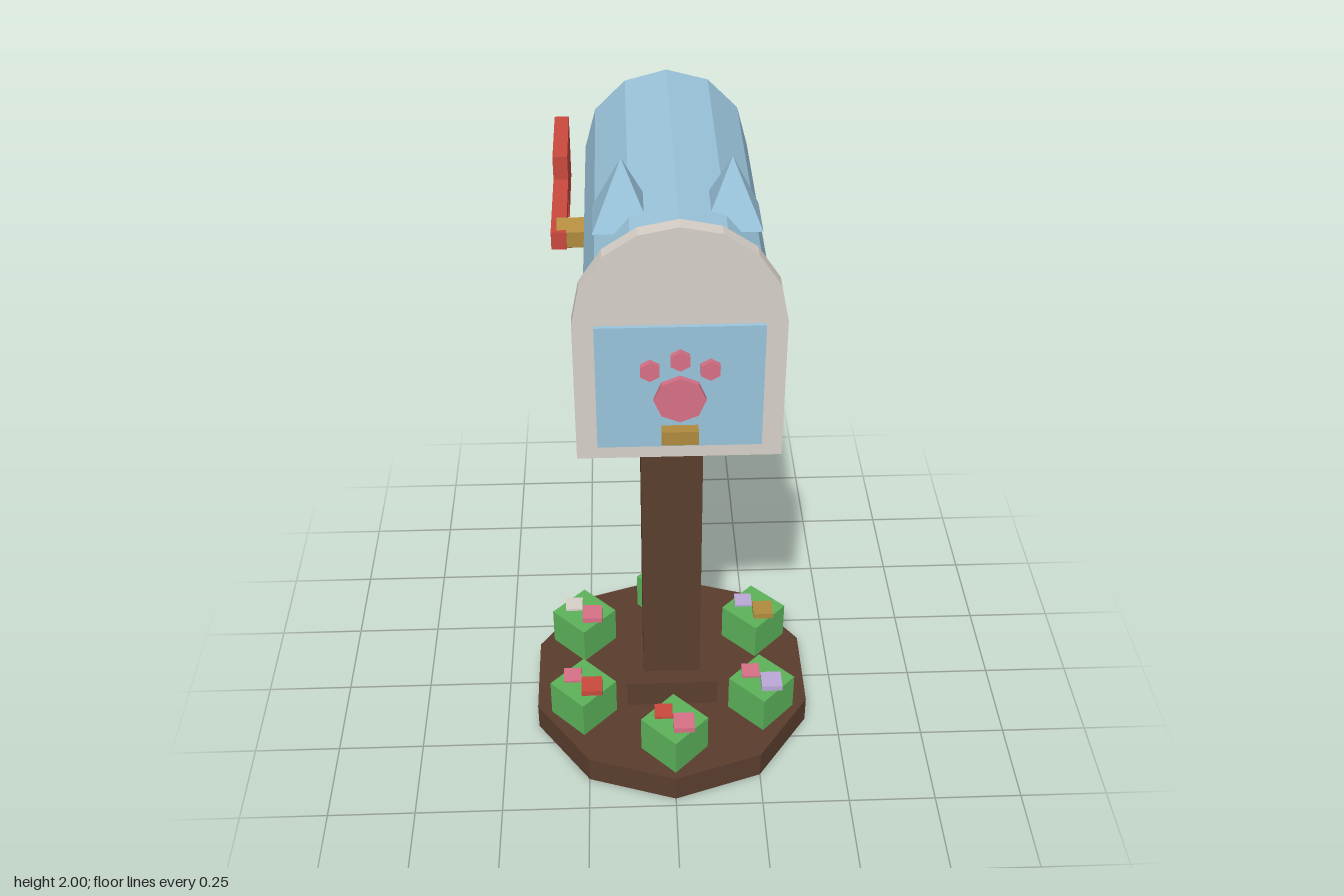
import * as THREE from 'three';

export function createModel() {
  const model = new THREE.Group();
  model.name = 'mailbox';

  const mat = (name, color) => {
    const m = new THREE.MeshStandardMaterial({ color });
    m.name = name;
    m.flatShading = true;
    return m;
  };
  const blue = mat('pale blue', 0x9ac4db);
  const cream = mat('warm white', 0xd6d0c8);
  const brown = mat('dark wood', 0x5a3d2e);
  const red = mat('flag red', 0xc9493d);
  const green = mat('leaf green', 0x5cb25a);
  const brass = mat('brass', 0xb08a3e);
  const pink = mat('pink', 0xd67086);
  const lavender = mat('lavender', 0xb9a8d6);

  const add = (name, geometry, material, x = 0, y = 0, z = 0, parent = model) => {
    const mesh = new THREE.Mesh(geometry, material);
    mesh.name = name;
    mesh.position.set(x, y, z);
    parent.add(mesh);
    return mesh;
  };
  // Box given by its min and max on each axis
  const box = (name, material, [x0, x1], [y0, y1], [z0, z1], parent = model) =>
    add(name, new THREE.BoxGeometry(x1 - x0, y1 - y0, z1 - z0), material,
      (x0 + x1) / 2, (y0 + y1) / 2, (z0 + z1) / 2, parent);
  // Arch-topped outline extruded along z
  const arch = (halfWidth, bottom, spring, segments, z0, z1) => {
    const s = new THREE.Shape();
    s.moveTo(-halfWidth, bottom);
    s.lineTo(halfWidth, bottom);
    for (let i = 0; i <= segments; i++) {
      const a = (Math.PI * i) / segments;
      s.lineTo(halfWidth * Math.cos(a), spring + halfWidth * Math.sin(a));
    }
    return new THREE.ExtrudeGeometry(s, { depth: z1 - z0, bevelEnabled: false }).translate(0, 0, z0);
  };

  // Ground mound, footing and post
  const cz = 0.05;
  add('base', new THREE.CylinderGeometry(0.425, 0.425, 0.085, 10), brown, 0, 0.0425, cz);
  box('footing', brown, [-0.135, 0.135], [0.085, 0.175], [cz - 0.135, cz + 0.135]);
  box('post', brown, [-0.084, 0.084], [0.175, 1.365], [cz - 0.084, cz + 0.084]);

  // Ring of bushes, each with a large and a small flower
  const petals = [pink, lavender, brass, cream, pink, red];
  for (let i = 0; i < 6; i++) {
    const a = (i * Math.PI) / 3;
    const bush = new THREE.Group();
    bush.name = 'bush';
    bush.position.set(0.305 * Math.sin(a), 0, cz + 0.305 * Math.cos(a));
    model.add(bush);
    add('leaves', new THREE.CylinderGeometry(0.097, 0.097, 0.12, 4), green, 0, 0.145, 0, bush);
    const flower = (name, material, x, z, size, top) => {
      add(name, new THREE.BoxGeometry(size, 0.018, size), material, x, top - 0.009, z, bush);
      add(name + 'Stem', new THREE.BoxGeometry(0.02, 0.04, 0.02), material, x, top - 0.035, z, bush);
    };
    flower('largeFlower', petals[i], 0.026, 0.024, 0.06, 0.223);
    flower('smallFlower', petals[(i + 5) % 6], -0.031, -0.027, 0.052, 0.212);
  }

  // Mailbox body: box below, arched roof above
  box('body', blue, [-0.212, 0.212], [1.365, 1.7], [-0.29, 0.555]);
  add('roof', arch(0.212, 1.69, 1.7, 6, -0.281, 0.555), blue);

  // Front frame and door
  add('doorFrame', arch(0.236, 1.34, 1.703, 8, 0.554, 0.59), cream);
  box('door', blue, [-0.188, 0.188], [1.378, 1.7], [0.585, 0.6]);
  box('doorHandle', brass, [-0.042, 0.042], [1.4, 1.437], [0.598, 0.627]);

  // Paw emblem on the door
  const pad = (name, r, sides, x, y) =>
    add(name, new THREE.CylinderGeometry(r, r, 0.016, sides).rotateX(Math.PI / 2), pink, x, y, 0.606);
  pad('pawPad', 0.059, 8, 0, 1.514);
  [[-0.067, 1.592], [0, 1.618], [0.067, 1.592]].forEach(([x, y]) => pad('pawToe', 0.025, 6, x, y));

  // Ears
  for (const side of [-1, 1]) {
    add(side > 0 ? 'leftEar' : 'rightEar',
      new THREE.ConeGeometry(0.0935, 0.15, 4).rotateY(Math.PI / 4), blue, side * 0.121, 1.925, 0.39);
  }

  // Letter slot on the left side
  box('slotPlate', cream, [0.205, 0.23], [1.418, 1.583], [-0.032, 0.306]);
  box('slot', brown, [0.225, 0.237], [1.486, 1.518], [0.035, 0.237]);

  // Flag on the right side
  add('flagPivot', new THREE.CylinderGeometry(0.045, 0.045, 0.08, 6).rotateZ(Math.PI / 2).rotateX(Math.PI / 6),
    brass, -0.25, 1.532, -0.125);
  box('flagArm', red, [-0.305, -0.265], [1.508, 1.558], [-0.38, -0.08]);
  box('flag', red, [-0.305, -0.265], [1.442, 1.625], [-0.63, -0.375]);

  return model;
}
